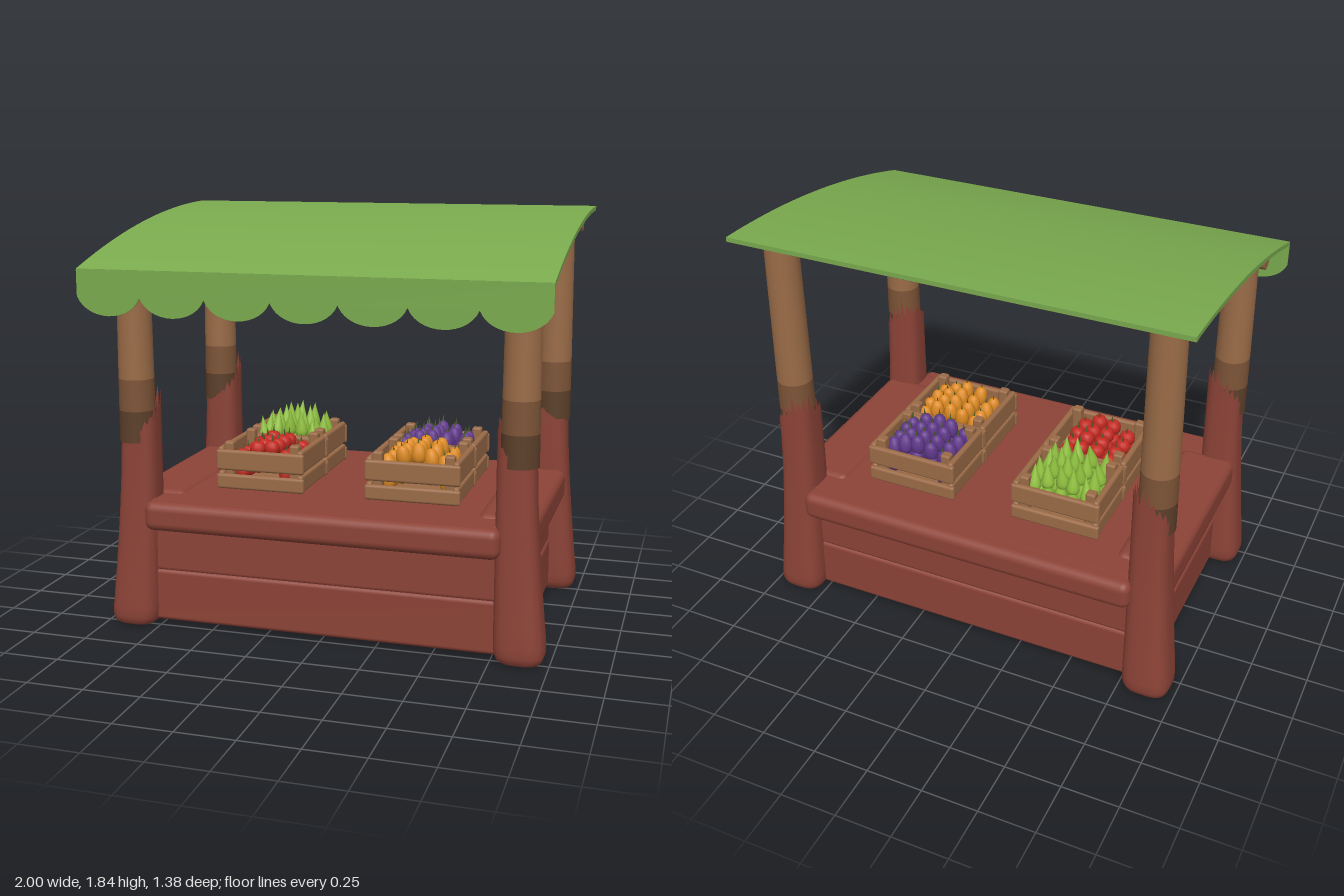
import * as THREE from 'three';
import { mergeVertices, toCreasedNormals } from 'three/addons/utils/BufferGeometryUtils.js';
import { RoundedBoxGeometry } from 'three/addons/geometries/RoundedBoxGeometry.js';

const material = (name, color, side = THREE.FrontSide) => {
  const m = new THREE.MeshStandardMaterial({ color, side });
  m.name = name;
  return m;
};

export function createModel() {
  const mats = {
    timber: material('red painted timber', 0x8c4337, THREE.DoubleSide),
    wood: material('bare wood', 0x9a6b47),
    midWood: material('stained wood', 0x7d5437),
    darkWood: material('dark stained wood', 0x5c3f2a),
    canopy: material('green canopy', 0x7aaa4e),
    orange: material('orange fruit', 0xdd8a22),
    purple: material('purple vegetable', 0x60388a),
    red: material('red vegetable', 0xc42a22),
    lime: material('light green vegetable', 0x8fc03e),
    leaf: material('stem green', 0x4a5a2a),
  };
  const root = new THREE.Group();
  let seed = 7;
  const rand = () => (seed = (seed * 16807) % 2147483647) / 2147483647;

  const add = (parent, name, geo, mat, x = 0, y = 0, z = 0) => {
    const mesh = new THREE.Mesh(geo, mat);
    mesh.name = name;
    mesh.position.set(x, y, z);
    parent.add(mesh);
    return mesh;
  };
  // Rounded board given by its limits on each axis
  const board = (parent, name, mat, [x0, x1], [y0, y1], [z0, z1], r = 0.02) =>
    add(parent, name, new RoundedBoxGeometry(x1 - x0, y1 - y0, z1 - z0, 3, r), mat,
      (x0 + x1) / 2, (y0 + y1) / 2, (z0 + z1) / 2);

  // Base walls: two stacked planks
  board(root, 'lowerWall', mats.timber, [-0.86, 0.86], [0.02, 0.26], [-0.57, 0.495]);
  board(root, 'upperWall', mats.timber, [-0.855, 0.855], [0.25, 0.48], [-0.565, 0.49]);

  // Counter: middle slab with thick rounded edge boards between the legs
  board(root, 'counterMiddle', mats.timber, [-0.8, 0.8], [0.47, 0.588], [-0.6, 0.52]);
  board(root, 'counterFront', mats.timber, [-0.79, 0.79], [0.455, 0.587], [0.33, 0.575], 0.04);
  board(root, 'counterBack', mats.timber, [-0.79, 0.79], [0.455, 0.587], [-0.66, -0.42], 0.04);
  for (const s of [-1, 1]) {
    const xs = s > 0 ? [0.66, 0.925] : [-0.925, -0.66];
    board(root, 'counterSide', mats.timber, xs, [0.455, 0.602], [-0.49, 0.41], 0.04);
  }

  // Flared leg with a splintered top; each row: y, ring scale, x centre, x half
  const rows = [
    [0, 0], [0.002, 0.72], [0.014, 0.87], [0.04, 0.97], [0.08, 1], [0.16, 1],
    [0.26, 1], [0.4, 1], [0.55, 1], [0.7, 1], [0.84, 1], [0.9, 1],
  ];
  const legGeometry = (side, front) => {
    const n = 44, last = rows.length - 1;
    const geo = new THREE.CylinderGeometry(1, 1, last, n, last, true);
    geo.deleteAttribute('uv');
    geo.deleteAttribute('normal');
    const pos = geo.attributes.position;
    const jags = Array.from({ length: n }, (_, i) => (i % 2 ? rand() * 0.4 : 0.4 + rand() * 0.6));
    for (let i = 0; i < pos.count; i++) {
      const row = Math.round(pos.getY(i) + last / 2);
      const c = pos.getX(i), d = pos.getZ(i);
      const k = 1 / Math.pow(Math.abs(c) ** 3.2 + Math.abs(d) ** 3.2, 1 / 3.2);
      const ux = c * k, uz = d * k;
      let [y, s] = rows[row];
      const f = 1 - Math.min(1, y / 0.85), flare = f ** 1.4;
      const xc = 0.838 + 0.035 * flare, hx = 0.081 + 0.031 * flare;
      const zc = front ? 0.451 + 0.013 * flare : -0.5325 - 0.027 * flare;
      const hz = front ? 0.079 + 0.026 * flare : 0.0865 + 0.018 * flare;
      if (row >= last - 1) {
        const tall = THREE.MathUtils.clamp(0.5 - 0.35 * side * ux - 0.35 * uz, 0, 1);
        const j = (Math.round(Math.atan2(c, d) / (2 * Math.PI) * n) + n) % n;
        y = row === last ? 0.85 + tall * (0.13 + 0.12 * jags[j]) : 0.83 + tall * 0.07;
      }
      pos.setXYZ(i, side * xc + s * hx * ux, y, zc + s * hz * uz);
    }
    const merged = mergeVertices(geo, 1e-5);
    merged.computeVertexNormals();
    return merged;
  };

  // Posts, darker toward the foot
  const post = (side, front) => {
    const g = new THREE.Group();
    g.name = 'post';
    const top = front ? 1.65 : 1.795, z = front ? 0.46 : -0.528;
    const radius = y => 0.081 - 0.008 * (y - 0.84) / (top - 0.84);
    const cuts = [[0.84, 0.98, mats.darkWood], [0.98, 1.12, mats.midWood], [1.12, top, mats.wood]];
    for (const [a, b, m] of cuts)
      add(g, 'postSection', new THREE.CylinderGeometry(radius(b), radius(a), b - a, 24), m,
        side * 0.85, (a + b) / 2, z);
    root.add(g);
  };
  for (const side of [-1, 1]) for (const front of [true, false]) {
    add(root, 'leg', legGeometry(side, front), mats.timber);
    post(side, front);
  }

  // Beams under the canopy
  for (const [y, z] of [[1.622, 0.456], [1.772, -0.528]])
    add(root, 'beam', new THREE.CylinderGeometry(0.044, 0.044, 1.92, 20), mats.wood, 0, y, z).rotation.z = Math.PI / 2;

  // Curved canopy: side profile extruded along x
  const canopyTop = z => 1.776 - 0.16 * z - 0.105 * z * z;
  const zs = Array.from({ length: 25 }, (_, i) => -0.69 + 1.38 * i / 24);
  const profile = new THREE.Shape([
    ...zs.map(z => new THREE.Vector2(-z, canopyTop(z))),
    ...zs.slice().reverse().map(z => new THREE.Vector2(-z, canopyTop(z) - 0.02)),
  ]);
  const roof = new THREE.ExtrudeGeometry(profile, { depth: 2, bevelEnabled: false });
  roof.rotateY(Math.PI / 2).translate(-1, 0, 0);
  add(root, 'canopy', toCreasedNormals(roof, 0.5), mats.canopy);

  // Scalloped valance along the front
  const cloth = new THREE.Shape();
  cloth.moveTo(1, 1.612);
  cloth.lineTo(-1, 1.612);
  cloth.lineTo(-1, 1.5);
  const w = 2 / 7;
  for (let i = 0; i < 7; i++) {
    const x = -1 + i * w;
    cloth.bezierCurveTo(x + 0.045, 1.393, x + w - 0.045, 1.393, x + w, 1.5);
  }
  cloth.closePath();
  const valance = new THREE.ExtrudeGeometry(cloth, { depth: 0.006, bevelEnabled: false, curveSegments: 14 });
  add(root, 'valance', toCreasedNormals(valance, 0.5), mats.canopy, 0, 0, 0.686);

  // Slatted crate with corner posts
  const crate = ([x0, x1], [z0, z1]) => {
    const g = new THREE.Group();
    g.name = 'crate';
    const t = 0.028;
    for (const [y0, y1] of [[0.592, 0.66], [0.678, 0.772]]) {
      for (const z of [z0, z1 - t]) board(g, 'longSlat', mats.wood, [x0, x1], [y0, y1], [z, z + t], 0.012);
      for (const x of [x0 + 0.006, x1 - t - 0.006])
        board(g, 'sideSlat', mats.wood, [x, x + t], [y0, y1 + 0.012], [z0 + 0.008, z1 - 0.008], 0.012);
    }
    for (const x of [x0 + 0.03, x1 - 0.075]) for (const z of [z0 + 0.026, z1 - 0.071])
      board(g, 'cornerPost', mats.wood, [x, x + 0.045], [0.592, 0.805], [z, z + 0.045], 0.01);
    board(g, 'crateFloor', mats.wood, [x0 + 0.02, x1 - 0.02], [0.592, 0.62], [z0 + 0.02, z1 - 0.02], 0.008);
    root.add(g);
  };

  // Produce shapes turned from short profiles
  const lathe = pts => new THREE.LatheGeometry(
    new THREE.SplineCurve(pts.map(p => new THREE.Vector2(...p))).getPoints(9).map(p => p.setX(Math.max(0, p.x))), 12);
  const round = lathe([[0, -0.036], [0.03, -0.022], [0.036, 0.005], [0.024, 0.03], [0, 0.034]]);
  const oval = lathe([[0, -0.05], [0.026, -0.035], [0.033, 0], [0.022, 0.038], [0, 0.05]]);
  const pointed = lathe([[0, -0.05], [0.027, -0.035], [0.028, -0.005], [0.012, 0.045], [0, 0.085]]);
  const stem = new THREE.ConeGeometry(0.007, 0.045, 6);

  // Heaped rows of produce, highest in the middle
  const pile = (name, geo, mat, stemMat, stemY, [x0, x1], [z0, z1], nx, nz, top) => {
    const g = new THREE.Group();
    g.name = name;
    for (let layer = 0; layer < 2; layer++) for (let i = 0; i < nx; i++) for (let j = 0; j < nz; j++) {
      const u = i / (nx - 1), v = j / (nz - 1);
      const heap = Math.sin(Math.PI * u) * 0.045;
      const x = x0 + (x1 - x0) * u + (rand() - 0.5) * 0.012, z = z0 + (z1 - z0) * v + (rand() - 0.5) * 0.012;
      const y = top - 0.045 + heap - (1 - layer) * 0.075 + (rand() - 0.5) * 0.012;
      const item = add(g, 'item', geo, mat, x, y, z);
      item.rotation.set((rand() - 0.5) * 0.3, rand() * 6, (rand() - 0.5) * 0.3);
      if (layer && stemMat) add(item, 'stem', stem, stemMat, 0, stemY, 0);
    }
    root.add(g);
  };

  const leftX = [0.135, 0.565], rightX = [-0.56, -0.145];
  for (const xs of [leftX, rightX]) {
    crate(xs, [-0.1, 0.275]);
    crate(xs, [-0.425, -0.09]);
  }
  pile('oranges', oval, mats.orange, mats.leaf, 0.05, [0.22, 0.48], [-0.03, 0.165], 5, 4, 0.785);
  pile('purpleVegetables', oval, mats.purple, mats.leaf, 0.06, [0.22, 0.48], [-0.345, -0.14], 5, 4, 0.785);
  pile('redVegetables', round, mats.red, mats.leaf, 0.045, [-0.46, -0.245], [-0.03, 0.19], 4, 4, 0.775);
  pile('greenVegetables', pointed, mats.lime, null, 0, [-0.475, -0.23], [-0.35, -0.14], 5, 4, 0.81);

  return root;
}
